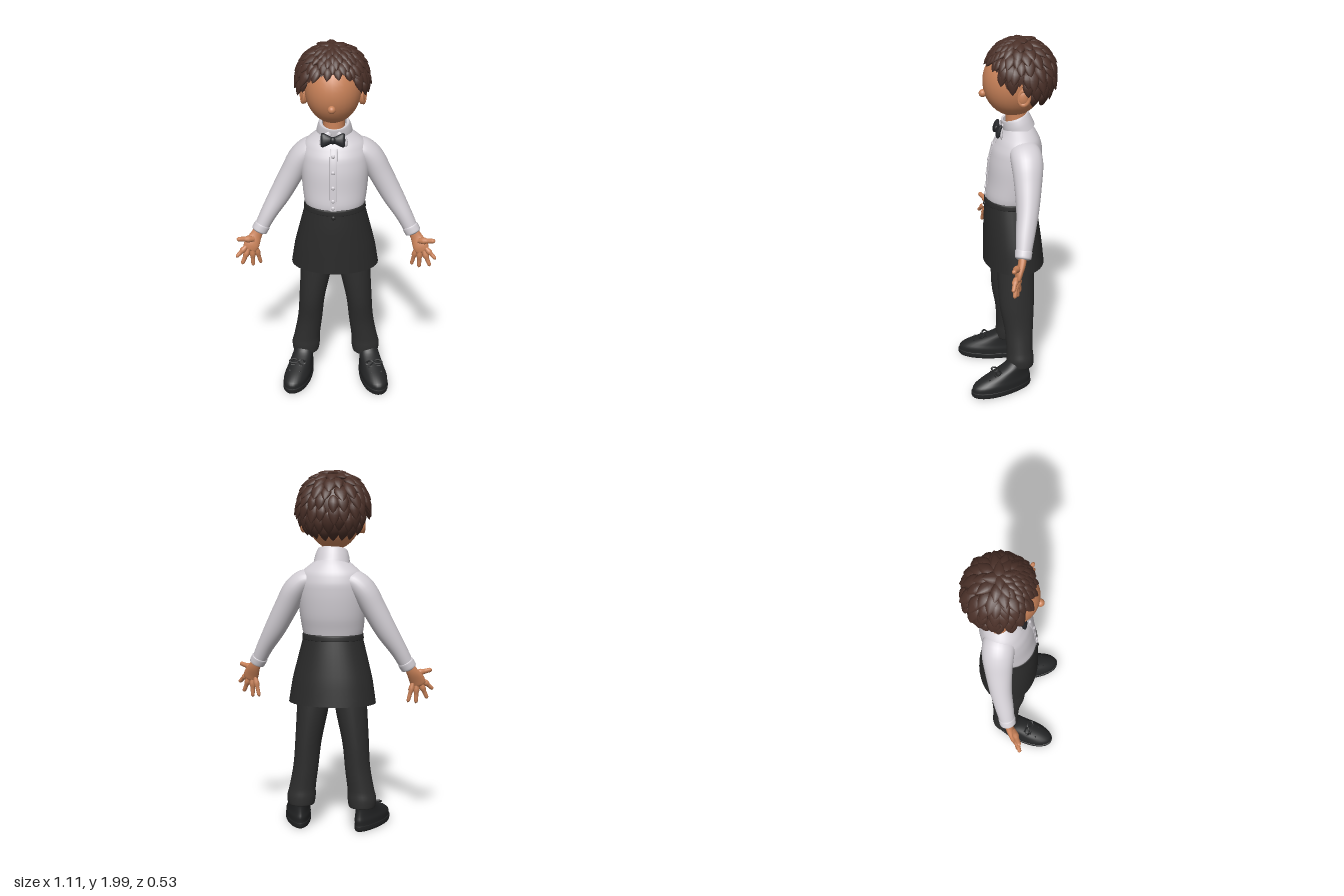
import * as THREE from 'three';
import { mergeGeometries } from 'three/addons/utils/BufferGeometryUtils.js';

const mat = (name, color, side = THREE.FrontSide) => {
  const m = new THREE.MeshStandardMaterial({ color, side });
  m.name = name;
  return m;
};

// Smooth skin through elliptical rings [x, y, z, radiusA, radiusB].
// level: rings stay horizontal (rows go upward); otherwise they follow the path.
function loft(rows, { level = false, seg = 24, steps = 4, taper = 0 } = {}) {
  const path = new THREE.CatmullRomCurve3(rows.map(r => new THREE.Vector3(r[0], r[1], r[2])));
  const size = new THREE.CatmullRomCurve3(rows.map(r => new THREE.Vector3(r[3], r[4], 0)));
  const n = (rows.length - 1) * steps, pos = [], idx = [];
  for (let i = 0; i <= n; i++) {
    const c = path.getPoint(i / n), s = size.getPoint(i / n);
    const u = new THREE.Vector3(1, 0, 0), v = new THREE.Vector3(0, 0, 1);
    if (!level) {
      const t = path.getTangent(i / n);
      u.crossVectors(t, v).normalize();
      v.crossVectors(u, t);
    }
    for (let j = 0; j < seg; j++) {
      const a = j / seg * Math.PI * 2, sin = Math.sin(a);
      const p = c.clone()
        .addScaledVector(u, Math.max(s.x, 0) * Math.cos(a) * (1 + taper * sin))
        .addScaledVector(v, Math.max(s.y, 0) * sin);
      pos.push(p.x, p.y, p.z);
      if (i < n) {
        const k = i * seg + j, l = i * seg + (j + 1) % seg;
        idx.push(k, k + seg, l, l, k + seg, l + seg);
      }
    }
  }
  const g = new THREE.BufferGeometry();
  g.setAttribute('position', new THREE.Float32BufferAttribute(pos, 3));
  g.setIndex(idx);
  g.computeVertexNormals();
  return g;
}

function mirrored(geo) {
  const g = geo.clone().scale(-1, 1, 1), a = g.index.array;
  for (let i = 0; i < a.length; i += 3) [a[i], a[i + 1]] = [a[i + 1], a[i]];
  return g;
}

const ball = (x, y, z, rx, ry = rx, rz = rx) =>
  new THREE.SphereGeometry(1, 28, 20).scale(rx, ry, rz).translate(x, y, z);

// Hairline: angle down from the crown, by azimuth from the front (degrees)
const LINE = [[0, 68], [25, 70], [45, 86], [62, 112], [72, 100], [84, 96], [105, 135], [180, 148]];
function hairline(az) {
  const d = Math.abs(az) * 180 / Math.PI;
  const k = Math.max(1, LINE.findIndex(p => p[0] >= d - 1e-4));
  const [a, b] = [LINE[k - 1], LINE[k]];
  return THREE.MathUtils.degToRad(THREE.MathUtils.mapLinear(d, a[0], b[0], a[1], b[1]));
}
const scalp = (az, t) => {
  const th = t * hairline(az);
  return new THREE.Vector3(-0.02 + 0.18 * Math.sin(th) * Math.sin(az),
    1.79 + 0.175 * Math.cos(th), -0.065 + 0.178 * Math.sin(th) * Math.cos(az));
};

function hairCap() {
  const g = new THREE.SphereGeometry(1, 48, 20), p = g.attributes.position, uv = g.attributes.uv;
  for (let i = 0; i < p.count; i++) {
    const f = uv.getX(i) * Math.PI * 2;
    const q = scalp(Math.atan2(-Math.cos(f), Math.sin(f)), 1 - uv.getY(i));
    p.setXYZ(i, q.x, q.y, q.z);
  }
  g.computeVertexNormals();
  return g;
}

// Leaf-shaped locks in rows, fanning out from the crown
function hairLocks() {
  let seed = 7;
  const rnd = () => (seed = (seed * 16807) % 2147483647) / 2147483647 - 0.5;
  const profile = [[0, -0.5], [0.28, -0.4], [0.46, -0.12], [0.42, 0.12], [0.22, 0.38], [0, 0.54]];
  const leaf = new THREE.LatheGeometry(
    new THREE.SplineCurve(profile.map(p => new THREE.Vector2(...p))).getPoints(9)
      .map(p => new THREE.Vector2(Math.max(p.x, 0), p.y)), 10);
  const counts = [4, 9, 14, 17, 19, 20, 20, 18], out = [];
  counts.forEach((n, r) => {
    for (let i = 0; i < n; i++) {
      let az = (i + (r % 2) / 2 + rnd() * 0.35) / n * Math.PI * 2;
      if (az > Math.PI) az -= Math.PI * 2;
      const t = (r + 0.5 + rnd() * 0.3) / 8.3, p = scalp(az, t);
      const down = scalp(az, t + 0.03).sub(p).normalize();
      const normal = new THREE.Vector3((p.x + 0.02) / 0.18, (p.y - 1.79) / 0.175, (p.z + 0.065) / 0.178).normalize();
      const y = down.addScaledVector(normal, 0.28 + rnd() * 0.25).normalize();
      const x = new THREE.Vector3().crossVectors(y, normal).normalize();
      const z = new THREE.Vector3().crossVectors(x, y);
      const s = Math.min(1.05, 0.45 + hairline(az) / 3.6) * (1 + rnd() * 0.25);
      const m = new THREE.Matrix4().makeBasis(x.multiplyScalar(0.066 * s), y.multiplyScalar(0.1 * s), z.multiplyScalar(0.036));
      out.push(leaf.clone().applyMatrix4(m.setPosition(p.addScaledVector(normal, 0.006))));
    }
  });
  return mergeGeometries(out);
}

export function createModel() {
  const skin = mat('skin', 0xc98259);
  const hair = mat('hair', 0x4a3028, THREE.DoubleSide);
  const shirt = mat('shirt', 0xd3cfd5, THREE.DoubleSide);
  const apron = mat('apron', 0x2a2a2a, THREE.DoubleSide);
  const trousers = mat('trousers', 0x2e2e2e, THREE.DoubleSide);
  const shoe = mat('shoe', 0x242526);
  const tie = mat('bow tie', 0x25262a);

  const model = new THREE.Group();
  model.name = 'waiter';
  const add = (name, geo, material) => {
    const m = new THREE.Mesh(geo, material);
    m.name = name;
    model.add(m);
    return m;
  };
  const pair = (name, geo, material, dx = 0) => {
    add(name + 'Left', geo, material).position.x = dx;
    add(name + 'Right', mirrored(geo), material).position.x = dx;
  };

  // Head
  add('head', ball(-0.017, 1.75, -0.03, 0.15, 0.187, 0.165), skin);
  add('nose', ball(-0.02, 1.69, 0.135, 0.021), skin);
  pair('ear', mergeGeometries([
    ball(0, 0, 0, 0.02, 0.047, 0.032),
    new THREE.TorusGeometry(0.028, 0.009, 8, 20).scale(1, 1.4, 1).rotateY(Math.PI / 2 - 0.3).translate(0.01, 0.003, 0),
  ]).rotateX(-0.15).translate(0.152, 1.7, -0.055), skin, -0.017);
  add('neck', new THREE.CylinderGeometry(0.056, 0.06, 0.18, 24).translate(-0.012, 1.55, -0.045), skin);
  add('hairCap', hairCap(), hair);
  add('hairLocks', hairLocks(), hair);

  // Shirt
  add('shirtBody', loft([
    [-0.007, 1.06, -0.008, 0.15, 0.125], [-0.007, 1.12, -0.01, 0.168, 0.136],
    [-0.007, 1.2, -0.025, 0.178, 0.142], [-0.007, 1.3, -0.036, 0.185, 0.144],
    [-0.007, 1.38, -0.046, 0.184, 0.137], [-0.007, 1.44, -0.054, 0.165, 0.115],
    [-0.008, 1.485, -0.056, 0.115, 0.088], [-0.01, 1.52, -0.05, 0.07, 0.068],
  ], { level: true, seg: 36 }), shirt);
  add('collar', loft([
    [0, -0.045, 0, 0.1, 0.088], [0, 0, 0, 0.092, 0.083], [0, 0.035, 0, 0.078, 0.075], [0, 0.03, 0, 0.066, 0.066],
  ], { level: true, seg: 32 }).rotateX(0.32).translate(-0.01, 1.53, -0.045), shirt);
  // Collar points
  pair('collarPoint', loft([
    [0.02, 1.52, 0.032, 0.012, 0.006], [0.045, 1.49, 0.043, 0.025, 0.007],
    [0.062, 1.462, 0.048, 0.016, 0.006], [0.068, 1.445, 0.048, 0, 0],
  ], { seg: 12 }), shirt, -0.012);
  add('placket', loft([
    [-0.012, 1.1, 0.124, 0.02, 0.004], [-0.012, 1.2, 0.117, 0.02, 0.004],
    [-0.012, 1.3, 0.108, 0.02, 0.004], [-0.012, 1.38, 0.091, 0.02, 0.004], [-0.012, 1.44, 0.062, 0.02, 0.004],
  ], { level: true, seg: 12 }), shirt);
  [[1.405, 0.086], [1.32, 0.108], [1.235, 0.117], [1.16, 0.124], [1.12, 0.127]].forEach(([y, z], i) =>
    add('shirtButton' + (i + 1), ball(-0.014, y, z, 0.011, 0.011, 0.007), shirt));
  pair('sleeve', loft([
    [0.08, 1.41, -0.06, 0.045, 0.07], [0.135, 1.395, -0.065, 0.062, 0.085], [0.185, 1.35, -0.067, 0.068, 0.085],
    [0.242, 1.25, -0.06, 0.065, 0.073], [0.307, 1.13, -0.045, 0.059, 0.06],
    [0.373, 1.02, -0.02, 0.046, 0.05], [0.412, 0.945, -0.004, 0.04, 0.042],
  ], { seg: 28 }), shirt);
  pair('cuff', loft([
    [0.405, 0.96, -0.007, 0.036, 0.038], [0.409, 0.952, -0.005, 0.045, 0.046],
    [0.426, 0.922, 0.002, 0.044, 0.044], [0.43, 0.914, 0.004, 0.028, 0.03],
  ]), shirt);

  // Bow tie
  pair('bowWing', loft([
    [0, 0, 0, 0.014, 0.01], [0.025, 0, 0, 0.026, 0.016], [0.052, 0, 0, 0.038, 0.016],
    [0.063, 0, 0, 0.034, 0.01], [0.066, 0, 0, 0, 0],
  ], { seg: 16 }).rotateX(-0.3).translate(0, 1.488, 0.056), tie, -0.016);
  add('bowKnot', ball(-0.016, 1.488, 0.062, 0.016, 0.02, 0.015), tie);

  // Hands: palm, four fingers and an outward thumb
  const digit = (x0, y0, x1, y1, r) => {
    const z = x => 0.032 + (x - 0.45) * 0.45;
    const at = (k, s) => [x0 + (x1 - x0) * k, y0 + (y1 - y0) * k, z(x0 + (x1 - x0) * k), r * s, r * s];
    return loft([at(0, 1), at(0.5, 1), at(0.9, 0.85), at(1, 0)], { seg: 12 });
  };
  pair('hand', mergeGeometries([
    loft([[0.42, 0.94, 0.002, 0.026, 0.022], [0.445, 0.895, 0.012, 0.033, 0.021],
      [0.468, 0.85, 0.032, 0.043, 0.019], [0.48, 0.82, 0.04, 0.036, 0.014], [0.484, 0.81, 0.043, 0, 0]], { seg: 18 }),
    digit(0.447, 0.835, 0.42, 0.722, 0.0115), digit(0.465, 0.83, 0.463, 0.715, 0.0125),
    digit(0.485, 0.83, 0.523, 0.738, 0.0125), digit(0.497, 0.845, 0.553, 0.79, 0.012),
    digit(0.455, 0.882, 0.547, 0.902, 0.014),
  ]), skin);

  // Apron with waistband
  add('apronSkirt', loft([
    [-0.007, 0.722, -0.028, 0.242, 0.168], [-0.007, 0.85, -0.022, 0.222, 0.16],
    [-0.007, 0.98, -0.014, 0.19, 0.149], [-0.007, 1.09, -0.009, 0.162, 0.136],
  ], { level: true, seg: 40 }), apron);
  add('waistband', loft([
    [-0.007, 1.07, -0.009, 0.162, 0.134], [-0.007, 1.075, -0.009, 0.17, 0.141],
    [-0.007, 1.102, -0.009, 0.167, 0.139], [-0.007, 1.108, -0.009, 0.15, 0.122],
  ], { level: true, seg: 40 }), apron);
  add('apronButton', ball(-0.012, 1.064, 0.131, 0.012, 0.012, 0.008), apron);

  // Trousers
  pair('trouserLeg', loft([
    [0.172, 0.15, -0.035, 0.06, 0.06], [0.173, 0.135, -0.035, 0.073, 0.075], [0.172, 0.18, -0.035, 0.08, 0.077],
    [0.166, 0.23, -0.034, 0.074, 0.074], [0.147, 0.35, -0.032, 0.07, 0.08], [0.133, 0.5, -0.023, 0.073, 0.097],
    [0.107, 0.7, -0.022, 0.088, 0.102], [0.095, 0.88, -0.022, 0.09, 0.1],
  ], { level: true, seg: 28 }), trousers, -0.004);
  add('hips', loft([
    [-0.004, 0.72, -0.02, 0, 0], [-0.004, 0.745, -0.02, 0.1, 0.08],
    [-0.004, 0.85, -0.02, 0.175, 0.11], [-0.004, 1.05, -0.012, 0.15, 0.12],
  ], { level: true, seg: 28 }), trousers);

  // Shoes: sole, upper, laces
  const place = g => g.rotateY(0.27).translate(0.21, 0, 0.08);
  pair('sole', place(loft([
    [0, 0.002, 0, 0, 0], [0, 0, 0, 0.066, 0.172], [0, 0.012, 0, 0.071, 0.182],
    [0, 0.03, 0, 0.071, 0.183], [0, 0.034, 0, 0.064, 0.172],
  ], { level: true, seg: 36, taper: 0.2 })), shoe);
  pair('shoeUpper', place(loft([
    [0, 0.02, 0, 0.068, 0.178], [0, 0.055, -0.004, 0.069, 0.177], [0, 0.085, -0.022, 0.063, 0.153],
    [0, 0.115, -0.056, 0.057, 0.115], [0, 0.15, -0.095, 0.052, 0.075], [0, 0.18, -0.11, 0.045, 0.055],
  ], { level: true, seg: 36, taper: 0.2 })), shoe);
  const loop = (x, z, y, turn) => new THREE.TorusGeometry(0.017, 0.005, 6, 16)
    .scale(1.3, 0.8, 1).rotateX(-1.1).rotateY(turn).translate(x, y, z);
  const bar = (y, z) => new THREE.CylinderGeometry(0.005, 0.005, 0.07, 8, 1).rotateZ(Math.PI / 2).translate(0, y, z);
  pair('laces', place(mergeGeometries([
    loop(-0.024, 0.03, 0.128, 0.3), loop(0.024, 0.03, 0.128, -0.3),
    bar(0.128, 0.015), bar(0.113, 0.05), bar(0.096, 0.085),
  ])), shoe);

  // The figure stands turned very slightly
  model.rotation.y = 0.045;
  const root = new THREE.Group();
  root.add(model);
  return root;
}
